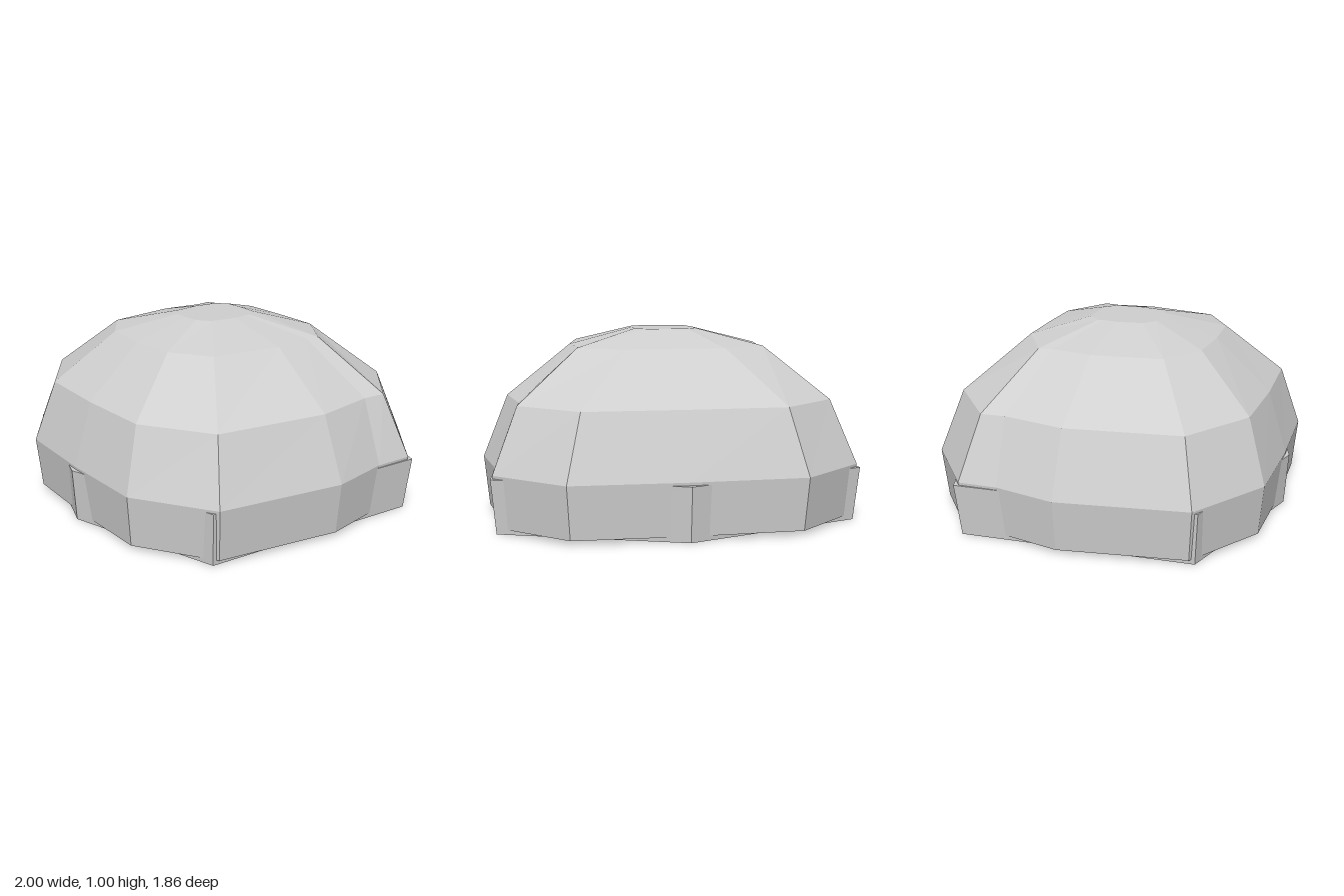
import * as THREE from 'three';

// Mirrors a half outline (front centre -> +x side -> back centre) into a full ring at height y
function ring(y, half, scale = 1) {
  const other = half.slice(1, -1).reverse().map(([x, z]) => [-x, z]);
  return [...half, ...other].map(([x, z]) => [x * scale, y, z * scale]);
}

// Joins rings from bottom to top and closes both ends with flat caps
function loft(rings) {
  const pos = [];
  const tri = (a, b, c) => pos.push(...a, ...b, ...c);
  const n = rings[0].length;
  const first = rings[0], last = rings[rings.length - 1];
  for (let i = 0; i < n; i++) {
    const j = (i + 1) % n;
    for (let k = 0; k < rings.length - 1; k++) {
      const lo = rings[k], hi = rings[k + 1];
      tri(lo[i], lo[j], hi[j]);
      tri(lo[i], hi[j], hi[i]);
    }
    tri([0, first[0][1], 0], first[j], first[i]);
    tri([0, last[0][1], 0], last[i], last[j]);
  }
  const geo = new THREE.BufferGeometry();
  geo.setAttribute('position', new THREE.Float32BufferAttribute(pos, 3));
  geo.computeVertexNormals();
  return geo;
}

export function createModel() {
  const group = new THREE.Group();
  group.name = 'facetedDome';
  const grey = new THREE.MeshStandardMaterial({ color: 0xcfcfcf, flatShading: true });
  grey.name = 'light grey';

  // Dome shell: straight skirt, then three narrowing tiers and a flat crown
  const rim = [[0, 0.905], [0.48, 0.89], [0.88, 0.625], [1, -0.05],
    [0.94, -0.38], [0.95, -0.59], [0.6, -0.885], [0, -0.9]];
  const tier1 = [[0, 0.8], [0.415, 0.785], [0.765, 0.55], [0.865, -0.045],
    [0.81, -0.38], [0.82, -0.51], [0.52, -0.77], [0, -0.78]];
  const tier2 = [[0, 0.5], [0.255, 0.485], [0.46, 0.345], [0.52, -0.03],
    [0.49, -0.25], [0.5, -0.325], [0.26, -0.48], [0, -0.485]];
  const crown = [[0, 0.19], [0.085, 0.185], [0.155, 0.13], [0.175, -0.01],
    [0.165, -0.095], [0.17, -0.12], [0.11, -0.185], [0, -0.19]];
  const dome = new THREE.Mesh(loft([
    ring(0.025, rim, 0.973), ring(0.3, rim), ring(0.637, tier1),
    ring(0.91, tier2), ring(0.997, crown),
  ]), grey);
  dome.name = 'domeShell';
  group.add(dome);

  // Six-sided base whose corners poke slightly through the skirt
  const base = new THREE.Mesh(loft([
    ring(0, [[0, 0.91], [0.84, 0.635], [0.935, -0.592], [0, -0.903]]),
    ring(0.285, [[0, 0.927], [0.862, 0.65], [0.96, -0.613], [0, -0.93]]),
  ]), grey);
  base.name = 'hexagonalBase';
  group.add(base);

  return group;
}
